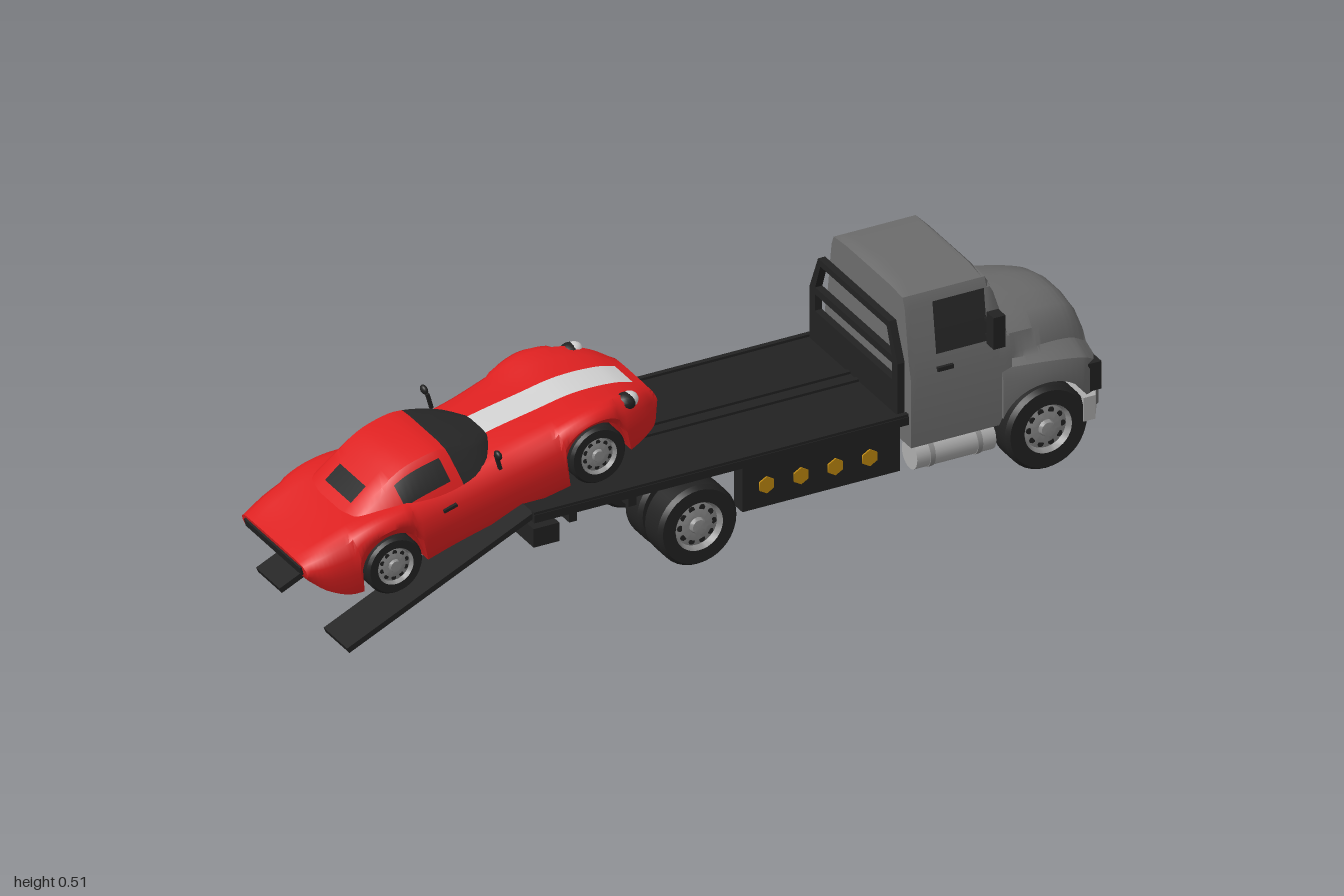
import * as THREE from 'three';
import { toCreasedNormals } from 'three/addons/utils/BufferGeometryUtils.js';

const M = {};
for (const [name, color] of Object.entries({
  cabGrey: 0x6c6c6c, black: 0x222222, glass: 0x272727, carRed: 0xdc2020,
  stripeWhite: 0xd0d0d0, chrome: 0xadadad, rimGrey: 0x8c8c8c, amber: 0xc08a10,
})) M[name] = new THREE.MeshStandardMaterial({ name, color });

function add(parent, name, geo, mat, x = 0, y = 0, z = 0) {
  const m = new THREE.Mesh(geo, mat);
  m.name = name;
  m.position.set(x, y, z);
  parent.add(m);
  return m;
}
// box given by its limits
function box(parent, name, mat, x0, x1, y0, y1, z0, z1) {
  return add(parent, name, new THREE.BoxGeometry(x1 - x0, y1 - y0, z1 - z0), mat,
    (x0 + x1) / 2, (y0 + y1) / 2, (z0 + z1) / 2);
}
function group(parent, name) {
  const g = new THREE.Group();
  g.name = name;
  parent.add(g);
  return g;
}
// smooth function through [x, value] pairs sorted by x
const curve = (p) => (x) => {
  if (x <= p[0][0]) return p[0][1];
  const n = p.length - 1;
  if (x >= p[n][0]) return p[n][1];
  let i = 0;
  while (x > p[i + 1][0]) i++;
  const slope = (k) => {
    const a = Math.max(k - 1, 0), b = Math.min(k + 1, n);
    return (p[b][1] - p[a][1]) / (p[b][0] - p[a][0]);
  };
  const h = p[i + 1][0] - p[i][0], t = (x - p[i][0]) / h, t2 = t * t, t3 = t2 * t;
  return (2 * t3 - 3 * t2 + 1) * p[i][1] + (t3 - 2 * t2 + t) * h * slope(i)
    + (3 * t2 - 2 * t3) * p[i + 1][1] + (t3 - t2) * h * slope(i + 1);
};
// evenly spaced stations plus exact extra ones
function stations(a, b, n, extra = []) {
  const s = [...extra];
  for (let i = 0; i <= n; i++) s.push(a + (b - a) * i / n);
  return s.sort((p, q) => p - q).filter((v, i, l) => !i || v - l[i - 1] > 1e-4);
}
// wheel-arch cut-out: raises a lower edge around a wheel
const arch = (x, y, cx, cy, r) =>
  Math.abs(x - cx) < r ? Math.max(y, cy + Math.sqrt(r * r - (x - cx) ** 2)) : y;

// skin over mirrored cross-sections; half(x) lists [y, z] from bottom centre to top centre
function loft(xs, half, paint, crease = 0.6) {
  const pos = [], faces = {};
  let n, hn;
  for (const x of xs) {
    const h = half(x);
    hn = h.length;
    const ring = [...h, ...h.slice(1, -1).reverse().map(([y, z]) => [y, -z])];
    n = ring.length;
    for (const [y, z] of ring) pos.push(x, y, z);
  }
  const put = (m, ...ids) => (faces[m] ??= []).push(...ids);
  for (let i = 0; i < xs.length - 1; i++) for (let j = 0; j < n; j++) {
    const k = (j + 1) % n, strip = j < hn - 1 ? j : n - 1 - j;
    const a = i * n + j, b = a + n, c = (i + 1) * n + k, d = i * n + k;
    put(paint((xs[i] + xs[i + 1]) / 2, strip), a, b, c, a, c, d);
  }
  const last = (xs.length - 1) * n;
  for (let j = 1; j < hn - 1; j++) { // end caps, strip by strip
    const j2 = n - j, up = j + 1, up2 = (n - up) % n;
    for (const [a, b, c] of [[j, up, j2], [up, up2, j2]]) {
      if (a === b || b === c) continue;
      put(0, a, b, c);
      put(0, last + a, last + c, last + b);
    }
    if (j === 1) { put(0, 0, j, j2); put(0, last, last + j2, last + j); }
  }
  const g = new THREE.BufferGeometry(), idx = [];
  for (const [m, f] of Object.entries(faces)) {
    g.addGroup(idx.length, f.length, +m);
    idx.push(...f);
  }
  g.setAttribute('position', new THREE.Float32BufferAttribute(pos, 3));
  g.setIndex(idx);
  return toCreasedNormals(g, crease);
}

const lathe = (pts) => toCreasedNormals(
  new THREE.LatheGeometry(pts.map((p) => new THREE.Vector2(...p)), 36).rotateX(Math.PI / 2), 0.5);

// wheel facing +z (side = 1) or -z (side = -1)
function wheel(parent, name, r, w, ri, x, y, z, side) {
  const g = group(parent, name);
  g.position.set(x, y, z * side);
  if (side < 0) g.rotation.y = Math.PI;
  add(g, 'tyre', lathe([[0, -w / 2], [0.92 * r, -w / 2], [r, -0.36 * w], [r, 0.36 * w],
    [0.92 * r, w / 2], [ri, w / 2], [ri, 0.1 * w]]), M.black);
  add(g, 'rim', lathe([[ri, 0.5 * w], [0.88 * ri, 0.32 * w], [0.5 * ri, 0.4 * w],
    [0.34 * ri, 0.4 * w], [0.28 * ri, 0.52 * w], [0, 0.54 * w]]), M.rimGrey);
  for (let i = 0; i < 10; i++) {
    const a = i * Math.PI / 5;
    add(g, 'rimHole', new THREE.CylinderGeometry(0.13 * ri, 0.13 * ri, 0.1 * w, 8).rotateX(Math.PI / 2),
      M.black, 0.7 * ri * Math.cos(a), 0.7 * ri * Math.sin(a), 0.32 * w);
  }
}

function buildCab(truck) {
  const cab = group(truck, 'cab');
  const wx = 0.842, wy = 0.104, R = 0.117;
  // cabin with windscreen and side windows
  const roof = curve([[0.505, 0.503], [0.53, 0.51], [0.69, 0.51], [0.715, 0.497], [0.76, 0.365]]);
  const cabin = loft(stations(0.505, 0.76, 16, [0.575, 0.69, 0.705, 0.72, 0.754]), (x) => {
    const h = roof(x), b = arch(x, 0.135, wx, wy, R);
    return [[b, 0], [b, 0.2], [0.3, 0.2], [0.35, 0.188], [0.475, 0.17], [0.498, 0.16], [0.507, 0.1], [0.51, 0]]
      .map(([y, z]) => [Math.min(y, h - (0.51 - y) * 0.1), z]);
  }, (x, j) => ((j >= 5 && x > 0.718 && x < 0.756) || (j === 3 && x > 0.575 && x < 0.705) ? 1 : 0));
  add(cab, 'cabin', cabin, [M.cabGrey, M.glass]);
  // bonnet with fenders
  const top = curve([[0.73, 0.378], [0.85, 0.366], [0.94, 0.35], [0.975, 0.328], [0.985, 0.3]]);
  const edge = curve([[0.73, 0.343], [0.85, 0.33], [0.94, 0.31], [0.975, 0.288], [0.985, 0.272]]);
  const edgeZ = curve([[0.73, 0.17], [0.85, 0.152], [0.985, 0.115]]);
  const fender = curve([[0.73, 0.285], [0.85, 0.28], [0.94, 0.262], [0.985, 0.235]]);
  const outer = curve([[0.73, 0.205], [0.85, 0.217], [0.94, 0.21], [0.985, 0.19]]);
  add(cab, 'bonnet', loft(stations(0.735, 0.985, 40), (x) => {
    const b = arch(x, 0.12, wx, wy, R), o = outer(x), f = fender(x), e = edge(x), ez = edgeZ(x), t = top(x);
    return [[b, 0], [b, o], [Math.max(b, f - 0.035), o], [f - 0.01, o - 0.008], [f, o - 0.03],
      [f + 0.012, ez + 0.015], [e, ez], [(e + t) / 2 + 0.008, ez * 0.75], [t, ez * 0.3], [t, 0]];
  }, () => 0), [M.cabGrey]);
  for (let i = 0; i < 5; i++) {
    const y = 0.172 + i * 0.0225;
    box(cab, 'grilleSlot', M.black, 0.982, 0.988, y - 0.005, y + 0.005, -0.102, 0.102);
  }
  // bumper, bent back at its ends
  const b = new THREE.Shape([[0.93, -0.22], [0.96, -0.22], [0.99, -0.17], [0.996, 0], [0.99, 0.17],
    [0.96, 0.22], [0.93, 0.22]].map((p) => new THREE.Vector2(...p)));
  add(cab, 'bumper', new THREE.ExtrudeGeometry(b, { depth: 0.06, bevelEnabled: false })
    .rotateX(-Math.PI / 2), M.chrome, 0, 0.1, 0);
  box(cab, 'valance', M.black, 0.9, 0.975, 0.068, 0.1, -0.055, 0.055);
  box(cab, 'engineBay', M.black, 0.7, 0.96, 0.09, 0.25, -0.13, 0.13);
  for (const s of [1, -1]) {
    const side = group(cab, s > 0 ? 'leftSide' : 'rightSide');
    const sbox = (name, mat, x0, x1, y0, y1, z0, z1) =>
      box(side, name, mat, x0, x1, y0, y1, s > 0 ? z0 : -z1, s > 0 ? z1 : -z0);
    sbox('headlightFrame', M.black, 0.95, 0.984, 0.163, 0.233, 0.132, 0.205);
    sbox('headlight', M.stripeWhite, 0.96, 0.988, 0.168, 0.228, 0.137, 0.2);
    sbox('doorHandle', M.black, 0.572, 0.612, 0.312, 0.322, 0.195, 0.203);
    sbox('mirror', M.black, 0.692, 0.722, 0.355, 0.435, 0.206, 0.24);
    sbox('mirrorArm', M.black, 0.7, 0.712, 0.4, 0.407, 0.17, 0.21);
    sbox('mirrorArm', M.black, 0.7, 0.712, 0.362, 0.369, 0.175, 0.21);
    // fuel tank with straps
    const round = (r, l) => new THREE.CylinderGeometry(r, r, l, 24).rotateZ(Math.PI / 2);
    add(side, 'fuelTank', round(0.036, 0.2), M.chrome, 0.62, 0.1, s * 0.165);
    for (const x of [0.56, 0.68]) add(side, 'tankStrap', round(0.038, 0.012), M.rimGrey, x, 0.1, s * 0.165);
    wheel(truck, 'frontWheel', 0.104, 0.08, 0.06, wx, wy, 0.178, s);
  }
}

function buildBed(truck) {
  const bed = group(truck, 'bed');
  box(bed, 'deck', M.black, -0.46, 0.488, 0.21, 0.23, -0.222, 0.222);
  for (const z of [-0.214, -0.02, 0.02, 0.214]) box(bed, 'deckRib', M.black, -0.46, 0.488, 0.228, 0.236, z - 0.006, z + 0.006);
  for (let i = 0; i < 6; i++) box(bed, 'crossMember', M.black, -0.36 + i * 0.15, -0.34 + i * 0.15, 0.175, 0.212, -0.2, 0.2);
  box(bed, 'rearBar', M.black, -0.45, -0.385, 0.135, 0.182, -0.2, 0.2);
  add(bed, 'axle', new THREE.CylinderGeometry(0.022, 0.022, 0.3, 12).rotateX(Math.PI / 2), M.black, -0.05, 0.1, 0);
  add(bed, 'frontAxle', new THREE.CylinderGeometry(0.018, 0.018, 0.3, 12).rotateX(Math.PI / 2), M.black, 0.842, 0.1, 0);
  for (const s of [1, -1]) {
    box(bed, 'chassisRail', M.black, -0.45, 0.9, 0.135, 0.185, s * 0.08 - 0.02, s * 0.08 + 0.02);
    box(bed, 'sideBox', M.black, 0.07, 0.468, 0.095, 0.21, s * 0.195 - 0.02, s * 0.195 + 0.02);
    for (let i = 0; i < 4; i++) add(bed, 'markerLight',
      new THREE.CylinderGeometry(0.021, 0.021, 0.006, 6).rotateX(Math.PI / 2), M.amber, 0.13 + i * 0.087, 0.15, s * 0.216);
    box(bed, 'headboardStay', M.black, 0.48, 0.51, 0.2, 0.23, s * 0.075 - 0.012, s * 0.075 + 0.012);
    wheel(truck, 'rearWheel', 0.1, 0.08, 0.06, -0.05, 0.1, 0.195, s);
    wheel(truck, 'innerRearWheel', 0.1, 0.075, 0.06, -0.05, 0.1, 0.103, s);
    const ramp = box(bed, 'ramp', M.black, -0.26, 0.26, -0.007, 0.007, -0.055, 0.055);
    ramp.position.set(-0.69, 0.115, s * 0.157);
    ramp.rotation.z = Math.atan2(0.22, 0.47);
  }
  // headboard with two window openings
  const poly = (w, p) => new w(p.map(([z, y]) => new THREE.Vector2(z, y)));
  const hb = poly(THREE.Shape, [[-0.205, 0.21], [0.205, 0.21], [0.205, 0.36], [0.165, 0.45], [-0.165, 0.45], [-0.205, 0.36]]);
  hb.holes.push(poly(THREE.Path, [[-0.18, 0.31], [-0.18, 0.352], [0.18, 0.352], [0.18, 0.31]]),
    poly(THREE.Path, [[-0.178, 0.37], [-0.154, 0.434], [0.154, 0.434], [0.178, 0.37]]));
  add(bed, 'headboard', new THREE.ExtrudeGeometry(hb, { depth: 0.018, bevelEnabled: false })
    .rotateY(Math.PI / 2), M.black, 0.468, 0, 0);
}

function buildCar(parent) {
  const car = group(parent, 'sportsCar');
  car.position.set(-0.527, 0.235, 0);
  car.rotation.z = 0.273;
  // body with arches, crowned fenders and a bonnet stripe
  const crest = curve([[-0.465, 0.098], [-0.38, 0.116], [-0.27, 0.124], [-0.1, 0.106], [0.07, 0.1],
    [0.18, 0.103], [0.28, 0.108], [0.36, 0.092], [0.42, 0.06], [0.463, 0.022]]);
  const mid = curve([[-0.465, 0.1], [-0.3, 0.118], [-0.1, 0.112], [0.07, 0.11], [0.2, 0.1], [0.3, 0.09], [0.4, 0.06], [0.463, 0.024]]);
  const width = curve([[-0.465, 0.152], [-0.4, 0.17], [-0.27, 0.181], [-0.1, 0.17], [0.07, 0.17],
    [0.27, 0.181], [0.36, 0.165], [0.42, 0.138], [0.463, 0.1]]);
  const under = curve([[-0.465, 0.06], [-0.43, 0.015], [-0.37, -0.022], [-0.2, -0.032], [0.43, -0.036], [0.463, -0.005]]);
  add(car, 'body', loft(stations(-0.465, 0.463, 90, [0.07, 0.44]), (u) => {
    const b = arch(u, arch(u, under(u), -0.267, 0, 0.08), 0.267, 0, 0.08), w = width(u), s = crest(u), m = mid(u);
    const at = (t) => b + (s - b) * t;
    return [[b, 0], [b, w * 0.94], [at(0.4), w], [at(0.7), w * 0.98], [at(0.92), w * 0.91], [s, w * 0.8],
      [(s + m) / 2, w * 0.6], [m, 0.042], [m, 0]];
  }, (u, j) => (j === 7 && u > 0.07 && u < 0.44 ? 1 : 0), 0.8), [M.carRed, M.stripeWhite]);
  // cabin: wraparound windscreen, side windows and rear window
  const h = curve([[-0.32, 0.113], [-0.24, 0.15], [-0.17, 0.179], [-0.11, 0.184], [-0.06, 0.177], [0.02, 0.14], [0.085, 0.104]]);
  const wb = curve([[-0.32, 0.145], [-0.2, 0.155], [-0.02, 0.152], [0.04, 0.125], [0.085, 0.06]]);
  const wt = curve([[-0.32, 0.1], [-0.2, 0.1], [-0.06, 0.1], [0.03, 0.085], [0.085, 0.035]]);
  add(car, 'cabin', loft(stations(-0.32, 0.085, 24, [-0.285, -0.24, -0.195, -0.075, -0.05]), (u) => {
    const H = h(u), B = wb(u), T = wt(u), y = (t) => 0.085 + (H - 0.085) * t, z = (t) => B + (T - B) * t;
    return [[0.085, 0], [0.085, B], [y(0.3), z(0.2)], [y(0.82), z(0.75)], [y(0.95), T], [H, T * 0.6], [H, 0]];
  }, (u, j) => ((j >= 1 && u > -0.05) || (j === 2 && u > -0.195 && u < -0.075)
    || (j >= 5 && u > -0.285 && u < -0.24) ? 1 : 0), 0.5), [M.carRed, M.glass]);
  box(car, 'noseIntake', M.black, 0.455, 0.467, -0.003, 0.014, -0.07, 0.07);
  box(car, 'tailPanel', M.black, -0.47, -0.46, 0.07, 0.09, -0.13, 0.13);
  for (const s of [1, -1]) {
    const ball = (name, mat, r, u, v, z, sx, sy, sz) =>
      add(car, name, new THREE.SphereGeometry(r, 16, 10), mat, u, v, z * s).scale.set(sx, sy, sz);
    ball('headlightRim', M.black, 0.027, 0.378, 0.066, 0.13, 1, 0.8, 0.9);
    ball('headlight', M.stripeWhite, 0.023, 0.388, 0.066, 0.129, 1, 0.85, 0.9);
    ball('mirror', M.black, 0.013, 0.04, 0.135, 0.172, 0.6, 0.9, 1);
    box(car, 'mirrorStalk', M.black, 0.036, 0.044, 0.09, 0.13, s * 0.16 - 0.004, s * 0.16 + 0.004);
    box(car, 'doorHandle', M.black, -0.12, -0.085, 0.063, 0.07, s * 0.168 - 0.004, s * 0.168 + 0.004);
    for (const u of [-0.267, 0.267]) wheel(car, 'carWheel', 0.07, 0.055, 0.045, u, 0, 0.146, s);
  }
}

export function createModel() {
  const model = new THREE.Group();
  model.name = 'towTruckWithCar';
  const truck = group(model, 'towTruck');
  buildCab(truck);
  buildBed(truck);
  buildCar(model);
  return model;
}
